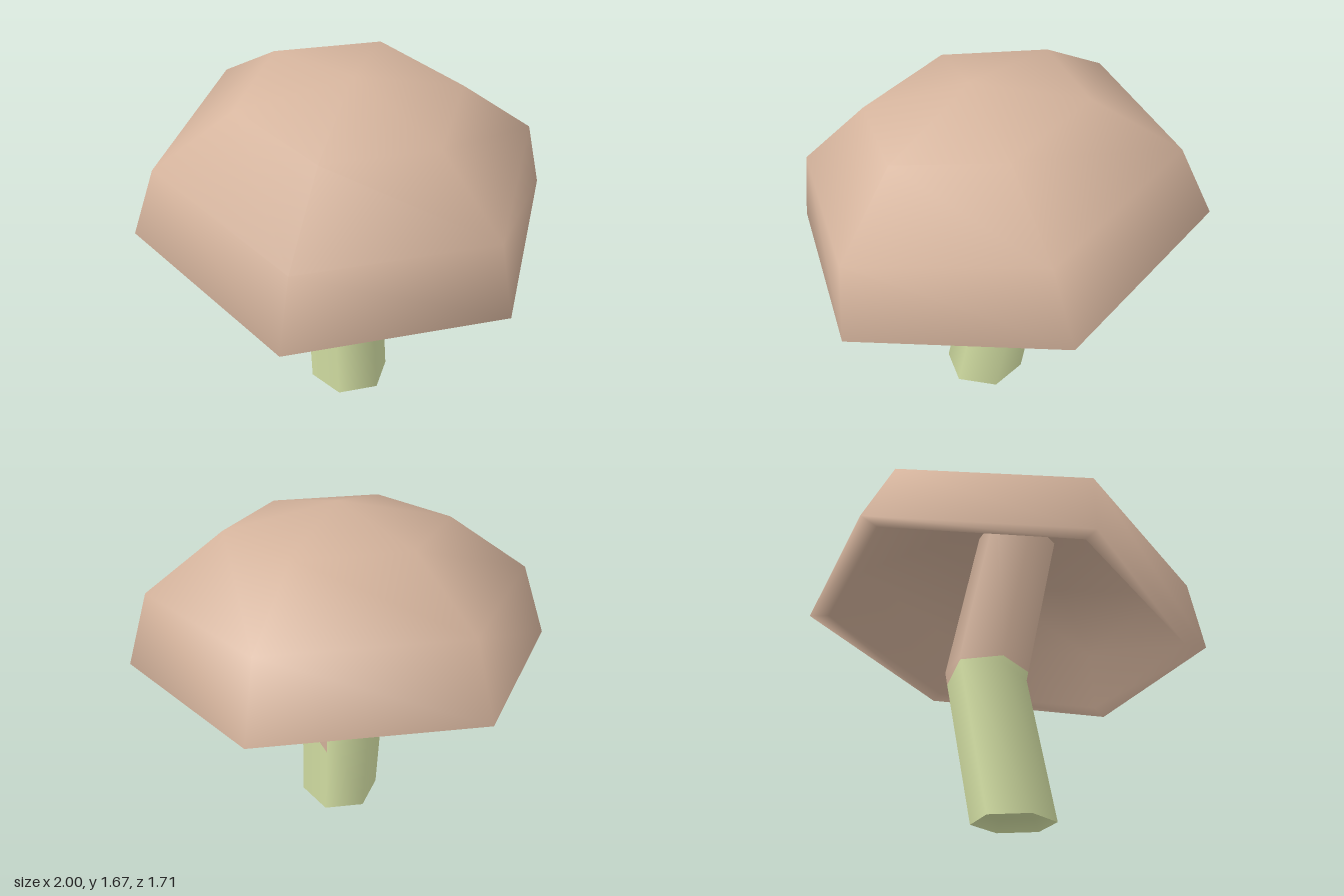
import * as THREE from 'three';
import { mergeVertices } from 'three/addons/utils/BufferGeometryUtils.js';

const TILT = Math.PI / 18;
const SIDES = 6;

// Six-sided turned shape with fully smooth normals, poles included
function turned(points) {
  const lathe = new THREE.LatheGeometry(
    points.map(([r, y]) => new THREE.Vector2(r, y)), SIDES, Math.PI / 6);
  lathe.deleteAttribute('normal');
  lathe.deleteAttribute('uv');
  const g = mergeVertices(lathe);
  g.computeVertexNormals();
  return g;
}

// One corner of a stem ring, tilted about x and moved to its centre
function corner(angle, y, z, tilt) {
  return new THREE.Vector3(0.2 * Math.cos(angle), 0, 0.2 * Math.sin(angle))
    .applyAxisAngle(new THREE.Vector3(1, 0, 0), tilt)
    .add(new THREE.Vector3(0, y, z));
}

// Smooth wall joining columns of points, each column running upward
function wall(columns, angles) {
  const pos = [], norm = [], index = [];
  const rows = columns[0].length;
  columns.forEach((column, i) => column.forEach((p) => {
    pos.push(p.x, p.y, p.z);
    norm.push(Math.cos(angles[i]), 0, Math.sin(angles[i]));
  }));
  for (let i = 0; i < columns.length - 1; i++) {
    for (let k = 0; k < rows - 1; k++) {
      const a = i * rows + k, b = a + rows;
      index.push(a, a + 1, b + 1, a, b + 1, b);
    }
  }
  const g = new THREE.BufferGeometry();
  g.setAttribute('position', new THREE.Float32BufferAttribute(pos, 3));
  g.setAttribute('normal', new THREE.Float32BufferAttribute(norm, 3));
  g.setIndex(index);
  return g;
}

export function createModel() {
  const model = new THREE.Group();
  const brown = new THREE.MeshStandardMaterial({ color: 0xd5b49d });
  brown.name = 'mushroomBrown';
  const green = new THREE.MeshStandardMaterial({ color: 0xd4e0a4 });
  green.name = 'stemGreen';
  const add = (name, geometry, material) => {
    const mesh = new THREE.Mesh(geometry, material);
    mesh.name = name;
    model.add(mesh);
    return mesh;
  };

  // Thick hollow cap: inner dome, rim, outer dome
  const cap = add('cap', turned([
    [0, 0.59], [0.43, 0.51], [0.79, 0.29], [0.9, 0.01],
    [1, 0], [0.89, 0.345], [0.52, 0.614], [0, 0.72],
  ]), brown);
  cap.position.y = 0.96;
  cap.rotation.x = TILT;

  // Bent stem: the slanting colour border starts and ends at a rear seam
  const border = [0.47, 0.59, 0.67, 0.715, 0.73, 0.72, 0.67];
  const angles = border.map((_, i) => (i - 1) * Math.PI / 3);
  const lower = [], upper = [];
  border.forEach((y, i) => {
    const foot = corner(angles[i], 0, 0.067, 0);
    const bend = corner(angles[i], 0.70, -0.075, TILT);
    const top = corner(angles[i], 1.57, 0.108, TILT);
    const below = y < bend.y;
    const [from, to] = below ? [foot, bend] : [bend, top];
    const cut = from.clone().lerp(to, (y - from.y) / (to.y - from.y));
    lower.push([foot, below ? cut : bend, cut]);
    upper.push([cut, below ? bend : cut, top]);
  });
  add('lowerStem', wall(lower, angles), green);
  add('upperStem', wall(upper, angles), brown);

  // Shallow hollow under the stem
  const foot = add('stemFoot', turned([[0, 0.07], [0.16, 0.05], [0.2, 0]]), green);
  foot.position.z = 0.067;

  return model;
}
